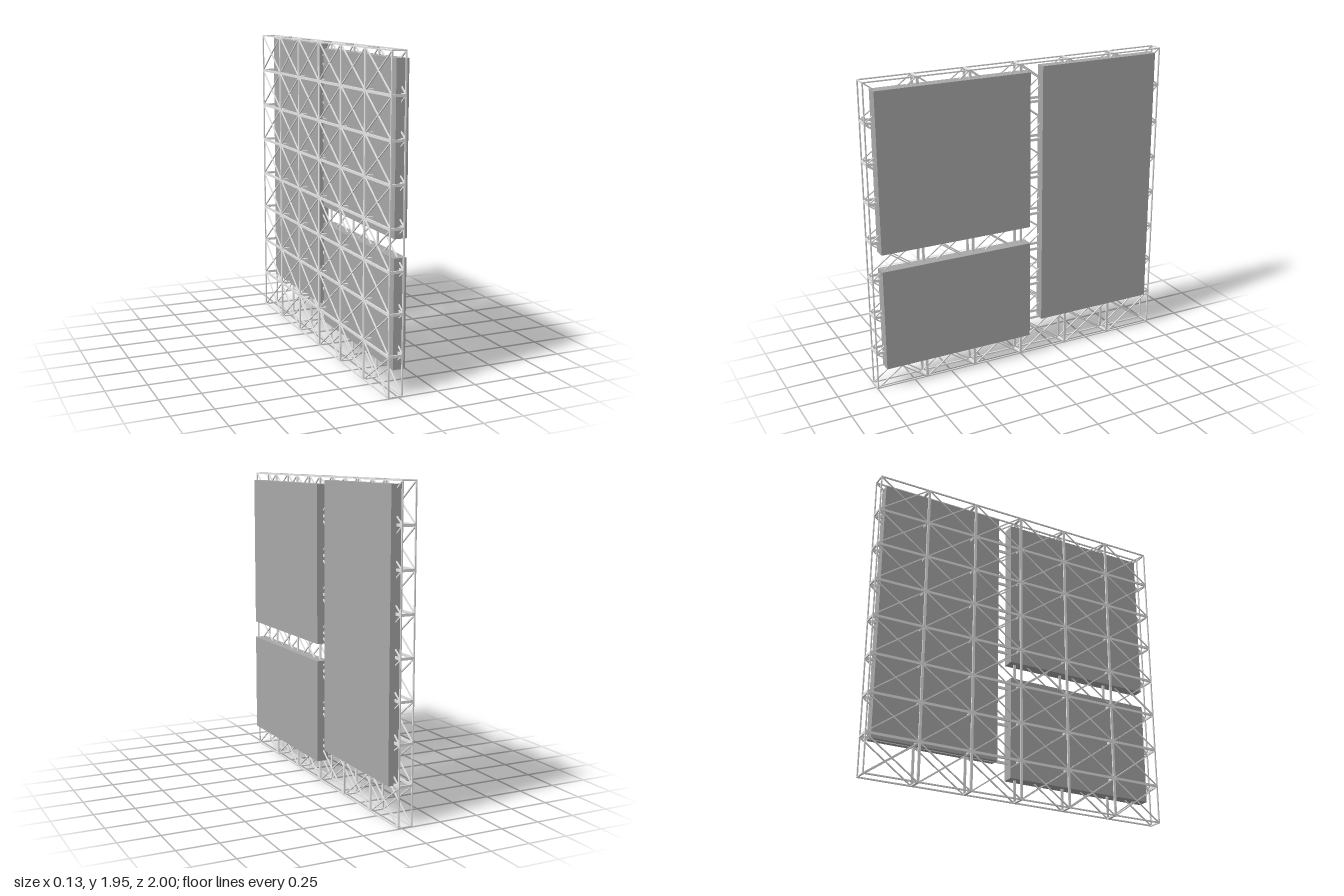
import * as THREE from 'three';
import { mergeGeometries } from 'three/addons/utils/BufferGeometryUtils.js';

const BAR = 0.008;
const X0 = -0.066, X1 = 0.027, HEIGHT = 1.945;
const COLS = 6, ROWS = 8;

// Square bar running between two points
function bar(a, b, thickness = BAR) {
  const dir = new THREE.Vector3().subVectors(b, a);
  const g = new THREE.BoxGeometry(thickness, dir.length(), thickness);
  const q = new THREE.Quaternion().setFromUnitVectors(new THREE.Vector3(0, 1, 0), dir.normalize());
  g.applyQuaternion(q);
  const mid = a.clone().add(b).multiplyScalar(0.5);
  return g.translate(mid.x, mid.y, mid.z);
}

function material(name, color) {
  const m = new THREE.MeshStandardMaterial({ color });
  m.name = name;
  return m;
}

export function createModel() {
  const group = new THREE.Group();
  group.name = 'panelWall';
  const grey = material('panelGrey', 0xa9a9a9);
  const pale = material('paleMetal', 0xe6e6e6);

  // Truss of box modules: neighbouring modules put their bars side by side
  const edges = [], braces = [];
  const h = BAR / 2, dz = 2 / COLS, dy = HEIGHT / ROWS;
  const xa = X0 + h, xb = X1 - h;
  const V = (x, y, z) => new THREE.Vector3(x, y, z);
  for (let c = 0; c < COLS; c++) {
    for (let r = 0; r < ROWS; r++) {
      const za = -1 + c * dz + h, zb = -1 + (c + 1) * dz - h;
      const ya = r * dy + h, yb = (r + 1) * dy - h;
      for (const x of [xa, xb]) {
        for (const z of [za, zb]) edges.push(bar(V(x, ya - h, z), V(x, yb + h, z)));
        for (const y of [ya, yb]) edges.push(bar(V(x, y, za), V(x, y, zb)));
        braces.push(bar(V(x, ya, za), V(x, yb, zb), 0.007));
        braces.push(bar(V(x, ya, zb), V(x, yb, za), 0.007));
      }
      for (const y of [ya, yb])
        for (const z of [za, zb]) edges.push(bar(V(xa, y, z), V(xb, y, z)));
    }
  }
  const addMesh = (name, geometry, mat) => {
    const m = new THREE.Mesh(geometry, mat);
    m.name = name;
    group.add(m);
  };
  addMesh('trussFrame', mergeGeometries(edges), pale);
  addMesh('trussBraces', mergeGeometries(braces), pale);

  // Flat panels mounted on the +x side
  const panel = (name, x0, x1, y0, y1, z0, z1) => addMesh(name,
    new THREE.BoxGeometry(x1 - x0, y1 - y0, z1 - z0)
      .translate((x0 + x1) / 2, (y0 + y1) / 2, (z0 + z1) / 2), grey);
  panel('upperPanel', -0.011, 0.066, 0.904, 1.896, -0.045, 0.947);
  panel('lowerPanel', -0.011, 0.066, 0.144, 0.794, -0.045, 0.947);
  panel('tallPanel', -0.005, 0.06, 0.238, 1.922, -0.94, -0.133);

  return group;
}
